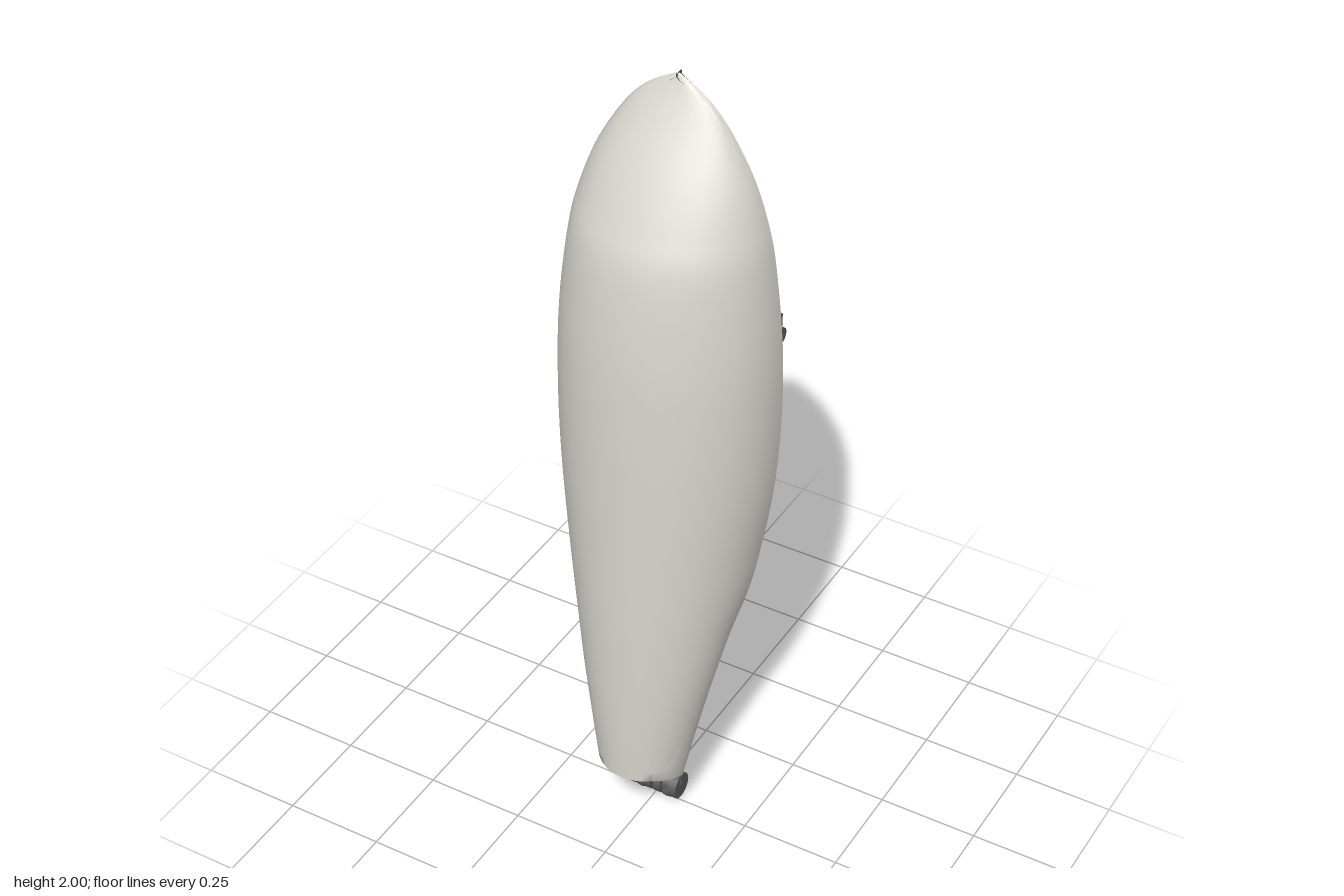
import * as THREE from 'three';
import { toCreasedNormals } from 'three/addons/utils/BufferGeometryUtils.js';

const shellMat = new THREE.MeshStandardMaterial({ color: 0xd8d5ce, side: THREE.DoubleSide });
shellMat.name = 'pale shell';
const darkMat = new THREE.MeshStandardMaterial({ color: 0x5c5c5c, side: THREE.DoubleSide });
darkMat.name = 'dark metal';

// Skin a list of equal-length rows of [x, y, z] points
function loft(rows, crease = 0.6) {
  const n = rows[0].length, index = [];
  for (let i = 0; i < rows.length - 1; i++) {
    for (let j = 0; j < n - 1; j++) {
      const a = i * n + j, b = a + n;
      index.push(a, b, a + 1, b, b + 1, a + 1);
    }
  }
  const g = new THREE.BufferGeometry();
  g.setAttribute('position', new THREE.Float32BufferAttribute(rows.flat(2), 3));
  g.setIndex(index);
  return toCreasedNormals(g, crease);
}

// Hull stations: height, half width, front z, back edge z
const stations = [
  [0.155, 0.108, 0.168, 0.06], [0.3, 0.135, 0.172, 0.045], [0.45, 0.165, 0.173, 0.025],
  [0.6, 0.195, 0.173, -0.008], [0.7, 0.218, 0.172, -0.038], [0.8, 0.236, 0.17, -0.056],
  [1.0, 0.262, 0.166, -0.075], [1.2, 0.272, 0.161, -0.083], [1.4, 0.268, 0.15, -0.085],
  [1.6, 0.246, 0.122, -0.086], [1.7, 0.224, 0.082, -0.087], [1.8, 0.187, 0.028, -0.088],
  [1.9, 0.127, -0.035, -0.089], [1.96, 0.07, -0.07, -0.09], [2.0, 0.003, -0.088, -0.091],
];
const sideCurve = new THREE.CatmullRomCurve3(stations.map(s => new THREE.Vector3(s[1], s[0], s[2])), false, 'catmullrom', 0.5);
const backCurve = new THREE.CatmullRomCurve3(stations.map(s => new THREE.Vector3(0, s[0], s[3])), false, 'catmullrom', 0.5);
function station(t) {
  const p = sideCurve.getPoint(t);
  return { w: p.x, y: p.y, zf: p.z, zb: backCurve.getPoint(t).z };
}

export function createModel() {
  const model = new THREE.Group();
  model.name = 'landingGearDoor';
  function add(name, geo, mat, parent = model) {
    const m = new THREE.Mesh(geo, mat);
    m.name = name;
    parent.add(m);
    return m;
  }
  const box = (name, x, y, z, w, h, d, parent = model) => {
    const m = add(name, new THREE.BoxGeometry(w, h, d), darkMat, parent);
    m.position.set(x, y, z);
    return m;
  };
  // Cylinder between two points
  function rod(name, a, b, r0, r1, mat, parent = model) {
    const A = new THREE.Vector3(...a), B = new THREE.Vector3(...b);
    const d = B.clone().sub(A);
    const m = add(name, new THREE.CylinderGeometry(r1, r0, d.length(), 20), mat, parent);
    m.position.copy(A).addScaledVector(d, 0.5);
    m.quaternion.setFromUnitVectors(new THREE.Vector3(0, 1, 0), d.normalize());
    return m;
  }

  // Outer skin, flat back rim and inset deck, all from the same stations
  const N = 70, M = 36, skin = [], rims = [[], []], deck = [];
  for (let i = 0; i <= N; i++) {
    const t = i / N, s = station(t);
    const row = [];
    for (let j = 0; j <= M; j++) {
      const a = Math.PI * j / M, k = Math.sin(a);
      const lift = i === 0 ? 0.035 * k : 0;
      row.push([s.w * Math.cos(a), s.y + lift, s.zb + (s.zf - s.zb) * k]);
    }
    skin.push(row);
    const inner = Math.max(s.w - 0.02, 0.001);
    [1, -1].forEach((side, n) => rims[n].push([[side * s.w, s.y, s.zb], [side * inner, s.y, s.zb]]));
    // Lower half of the deck has a sunken bay for the strut
    const bay = inner * 0.68, zd = s.zb - 0.012;
    const floor = zd + 0.055 * THREE.MathUtils.smoothstep(0.7 - s.y, 0, 0.04);
    deck.push([[inner, s.y, s.zb + 0.01], [inner, s.y, zd], [bay, s.y, zd], [bay * 0.98, s.y, floor],
      [-bay * 0.98, s.y, floor], [-bay, s.y, zd], [-inner, s.y, zd], [-inner, s.y, s.zb + 0.01]]);
  }
  add('outerShell', loft(skin, 1.2), shellMat);
  rims.forEach((r, n) => add(n ? 'rightRim' : 'leftRim', loft(r), shellMat));
  add('deck', loft(deck.filter(r => r[0][1] > 0.2)), darkMat);
  const chord = skin[0].map(p => [p[0], 0.155, 0.06]);
  add('lowerEnd', loft([skin[0], chord]), shellMat);

  // Wedge shaped cover on the upper back: height, half width, z
  const wedge = [[1.97, 0.012, -0.092], [1.9, 0.065, -0.098], [1.8, 0.11, -0.106], [1.7, 0.138, -0.117],
    [1.6, 0.152, -0.13], [1.5, 0.158, -0.146], [1.38, 0.155, -0.166], [1.34, 0.152, -0.158],
    [1.26, 0.145, -0.122], [1.19, 0.14, -0.1]];
  add('wedgeCover', loft(wedge.map(([y, w, z]) => [
    [w + 0.012, y, -0.085], [w + 0.01, y, z * 0.75 - 0.025], [w - 0.01, y, z],
    [-w + 0.01, y, z], [-w - 0.01, y, z * 0.75 - 0.025], [-w - 0.012, y, -0.085]]), 0.4), darkMat);

  // Spine running down the deck, following its back edge
  const spine = [[1.22, -0.106], [1.0, -0.101], [0.8, -0.092], [0.66, -0.085]];
  add('spine', loft(spine.map(([y, z]) => [[0.06, y, z + 0.06], [0.06, y, z], [-0.06, y, z], [-0.06, y, z + 0.06]])), darkMat);

  // Hinges, cross ledges and raised side panels
  for (const side of [1, -1]) {
    const hinge = new THREE.Group();
    hinge.name = side > 0 ? 'leftHinge' : 'rightHinge';
    model.add(hinge);
    box('hingeBase', side * 0.2, 1.38, -0.105, 0.05, 0.27, 0.03, hinge);
    rod('hingeArm', [side * 0.205, 1.52, -0.115], [side * 0.2, 1.37, -0.15], 0.016, 0.022, darkMat, hinge);
    box('hingeLug', side * 0.197, 1.385, -0.15, 0.045, 0.055, 0.05, hinge);
    rod('hingePin', [side * 0.16, 1.38, -0.14], [side * 0.238, 1.38, -0.14], 0.019, 0.019, darkMat, hinge);
    rod('hingeBrace', [side * 0.2, 1.37, -0.145], [side * 0.185, 1.25, -0.11], 0.022, 0.016, darkMat, hinge);
    box('ledge', side * 0.165, 1.25, -0.098, 0.16, 0.06, 0.022, hinge);
    const panel = [[1.21, 0.235, -0.099], [1.0, 0.225, -0.093], [0.8, 0.195, -0.076], [0.71, 0.175, -0.06]];
    add('sidePanel', loft(panel.map(([y, w, z]) => [[side * w, y, z + 0.02], [side * w, y, z],
      [side * 0.078, y, z], [side * 0.078, y, z + 0.02]])), darkMat, hinge);
  }

  // Twin strut
  const strut = new THREE.Group();
  strut.name = 'strut';
  model.add(strut);
  box('strutHead', 0, 0.6, -0.078, 0.085, 0.16, 0.055, strut).rotation.x = -0.1;
  rod('strutPivot', [-0.05, 0.685, -0.075], [0.05, 0.685, -0.075], 0.03, 0.03, darkMat, strut);
  for (const s of [1, -1]) {
    const x = s * 0.036;
    rod('strutSleeve', [x, 0.48, -0.073], [x, 0.66, -0.078], 0.039, 0.033, darkMat, strut);
    rod('strutCylinder', [x, 0.265, -0.036], [x, 0.485, -0.066], 0.034, 0.035, shellMat, strut);
    rod('strutCollar', [x, 0.25, -0.034], [x, 0.272, -0.037], 0.029, 0.036, darkMat, strut);
    rod('strutRod', [x, 0.13, -0.016], [x, 0.26, -0.034], 0.015, 0.015, shellMat, strut);
    rod('forkNeck', [x, 0.125, -0.012], [x, 0.155, -0.018], 0.024, 0.02, darkMat, strut);
    // Fork: two cheeks around an eye
    for (const k of [1, -1]) {
      rod('forkCheek', [x + k * 0.022, 0.05, -0.006], [x + k * 0.017, 0.135, -0.012], 0.012, 0.014, darkMat, strut);
      rod('forkEye', [x + k * 0.012, 0.042, -0.006], [x + k * 0.031, 0.042, -0.006], 0.034, 0.034, darkMat, strut);
    }
    rod('forkPin', [x - 0.03, 0.04, -0.006], [x + 0.03, 0.04, -0.006], 0.024, 0.024, darkMat, strut);
    const foot = add('forkFoot', new THREE.SphereGeometry(0.026, 16, 10), darkMat, strut);
    foot.position.set(x, 0.026, -0.006);
  }
  return model;
}
